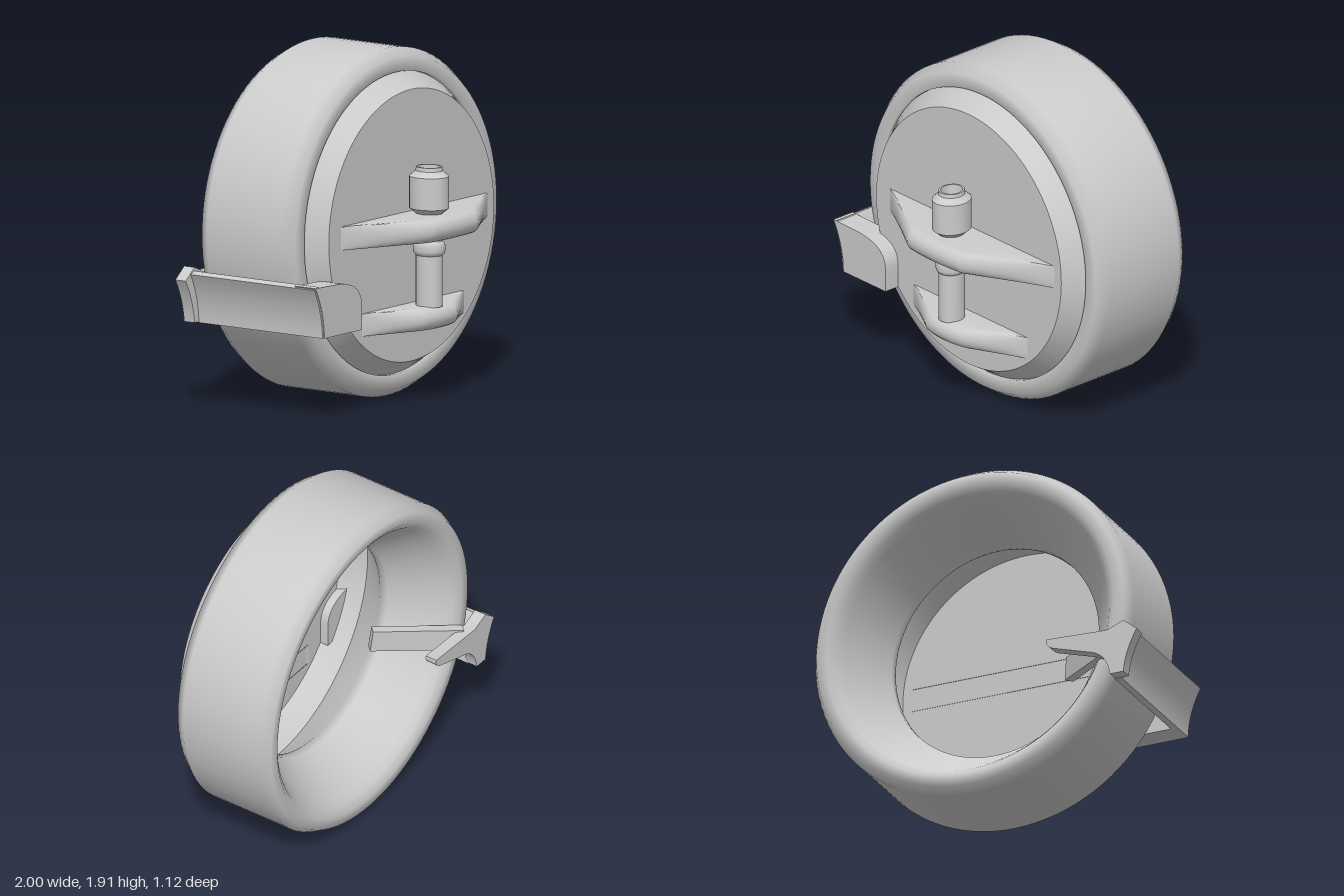
import * as THREE from 'three';
import { toCreasedNormals } from 'three/addons/utils/BufferGeometryUtils.js';

const CX = 0.04, CY = 0.96; // wheel axis
const mat = new THREE.MeshStandardMaterial({ color: 0xcccccc, side: THREE.DoubleSide });

function add(parent, name, geometry, x = 0, y = 0, z = 0) {
  const mesh = new THREE.Mesh(geometry, mat);
  mesh.name = name;
  mesh.position.set(x, y, z);
  parent.add(mesh);
  return mesh;
}

const lathe = (pts, segments) =>
  new THREE.LatheGeometry(pts.map(([r, h]) => new THREE.Vector2(r, h)), segments);

const crease = (g, angle = 0.6) => toCreasedNormals(g, angle);

// Flat plate outlined in x/y, running from z0 to z1
function plate(shape, z0, z1) {
  const g = new THREE.ExtrudeGeometry(shape, { depth: z1 - z0, bevelEnabled: false, curveSegments: 12 });
  g.translate(0, 0, z0);
  return crease(g);
}

// Bracket fin: tapered sides, bowed middle and a rounded nose lofted along x
function finGeometry({ x0, x1, gap0, gap1, y0, y1, back, side, front, nose }) {
  const stations = [];
  const steps = 12, rim = 10;
  for (let i = 0; i <= 6; i++) {
    const t = i / 6;
    stations.push([x0 + (gap0 - x0) * t, back + (side - back) * t, nose * t]);
  }
  for (let i = 1; i <= steps; i++) {
    const t = i / steps;
    stations.push([gap0 + (gap1 - gap0) * t, side + (front - side) * 4 * t * (1 - t), nose]);
  }
  for (let i = 1; i <= 6; i++) {
    const t = i / 6;
    stations.push([gap1 + (x1 - gap1) * t, side + (back - side) * t, nose * (1 - t)]);
  }
  const pos = [], idx = [], n = rim + 3;
  for (const [x, edge, d] of stations) {
    pos.push(x, y0, back);
    for (let j = 0; j <= rim; j++) {
      const a = Math.PI * j / rim;
      pos.push(x, y0 + (y1 - y0) * (0.5 - 0.5 * Math.cos(a)), Math.max(back, edge - d * (1 - Math.sin(a))));
    }
    pos.push(x, y1, back);
  }
  for (let i = 0; i < stations.length - 1; i++) {
    for (let j = 0; j < n - 1; j++) {
      const a = i * n + j, b = a + n;
      idx.push(a, b, b + 1, a, b + 1, a + 1);
    }
  }
  const g = new THREE.BufferGeometry();
  g.setAttribute('position', new THREE.Float32BufferAttribute(pos, 3));
  g.setIndex(idx);
  return crease(g, 0.5);
}

export function createModel() {
  const model = new THREE.Group();
  model.name = 'wheelWithBracketAndClamp';

  // Thick ring with bevelled shoulders and a dished back
  const ring = lathe([
    [0.83, 0.13], [0.62, -0.10], [0.62, -0.15], [0.79, -0.40], [0.82, -0.44], [0.86, -0.47], [0.92, -0.47],
    [0.955, -0.41], [0.955, 0.09], [0.91, 0.155], [0.83, 0.155], [0.83, 0.13],
  ], 96);
  ring.rotateX(Math.PI / 2);
  add(model, 'outerRing', ring, CX, CY);

  // Thin front cover with a conical edge
  const cover = lathe([[0.83, 0.13], [0.81, 0.155], [0.747, 0.258], [0, 0.258]], 96);
  cover.rotateX(Math.PI / 2);
  add(model, 'frontCover', crease(cover, 0.4), CX, CY);

  // Two bracket fins that hold the pin
  const bracket = new THREE.Group();
  bracket.name = 'bracket';
  model.add(bracket);
  add(bracket, 'upperFin', finGeometry({
    x0: -0.60, x1: 0.735, gap0: -0.14, gap1: 0.27, y0: 0.91, y1: 1.04,
    back: 0.255, side: 0.545, front: 0.56, nose: 0.06,
  }));
  add(bracket, 'lowerFin', finGeometry({
    x0: -0.41, x1: 0.52, gap0: -0.09, gap1: 0.20, y0: 0.41, y1: 0.535,
    back: 0.255, side: 0.455, front: 0.475, nose: 0.06,
  }));

  // Upright pin, slightly oval, with a bead and a hollow head
  const pin = new THREE.Group();
  pin.name = 'pin';
  pin.position.set(0.0375, 0, 0.38);
  pin.scale.z = 1.13;
  model.add(pin);
  add(pin, 'pinShaft', crease(lathe([[0, 0.53], [0.067, 0.53], [0.067, 1.06]], 32)));
  add(pin, 'pinBead', lathe([
    [0.066, 0.81], [0.076, 0.82], [0.081, 0.835], [0.081, 0.865], [0.076, 0.88], [0.066, 0.89],
  ], 32));
  add(pin, 'pinHead', crease(lathe([
    [0.067, 1.04], [0.1, 1.07], [0.1, 1.245], [0.068, 1.275], [0.066, 1.297],
    [0.056, 1.297], [0.05, 1.22], [0, 1.2],
  ], 32)));

  // Clamp gripping the side of the ring
  const clamp = new THREE.Group();
  clamp.name = 'clamp';
  model.add(clamp);

  const jaw = new THREE.Shape();
  jaw.moveTo(-0.95, 0.76);
  jaw.lineTo(-0.74, 0.755);
  jaw.bezierCurveTo(-0.60, 0.745, -0.53, 0.70, -0.53, 0.60);
  jaw.lineTo(-0.53, 0.475);
  jaw.lineTo(-0.87, 0.475);
  jaw.quadraticCurveTo(-0.87, 0.62, -0.95, 0.76);
  add(clamp, 'frontJaw', plate(jaw, 0.21, 0.35));

  const link = new THREE.Shape();
  link.moveTo(-0.955, 0.75);
  link.quadraticCurveTo(-0.885, 0.62, -0.88, 0.475);
  link.lineTo(-0.84, 0.475);
  link.quadraticCurveTo(-0.85, 0.63, -0.92, 0.765);
  link.closePath();
  add(clamp, 'clampLink', plate(link, -0.50, 0.345));

  const rear = new THREE.Shape();
  rear.moveTo(-1.0, 0.72);
  rear.quadraticCurveTo(-0.93, 0.60, -0.92, 0.48);
  rear.lineTo(-0.84, 0.48);
  rear.quadraticCurveTo(-0.82, 0.60, -0.73, 0.63);
  rear.lineTo(-0.50, 0.70);
  rear.quadraticCurveTo(-0.45, 0.72, -0.46, 0.76);
  rear.lineTo(-0.82, 0.745);
  rear.lineTo(-0.92, 0.785);
  rear.closePath();
  add(clamp, 'rearJaw', plate(rear, -0.56, -0.49));

  // Arm reaching from the rear jaw into the dish
  const from = new THREE.Vector3(-0.78, 0.69, -0.50);
  const to = new THREE.Vector3(-0.41, 0.76, -0.16);
  const arm = add(clamp, 'innerArm', new THREE.BoxGeometry(0.05, 0.13, from.distanceTo(to)));
  arm.position.copy(from).add(to).multiplyScalar(0.5);
  arm.lookAt(to);

  return model;
}
